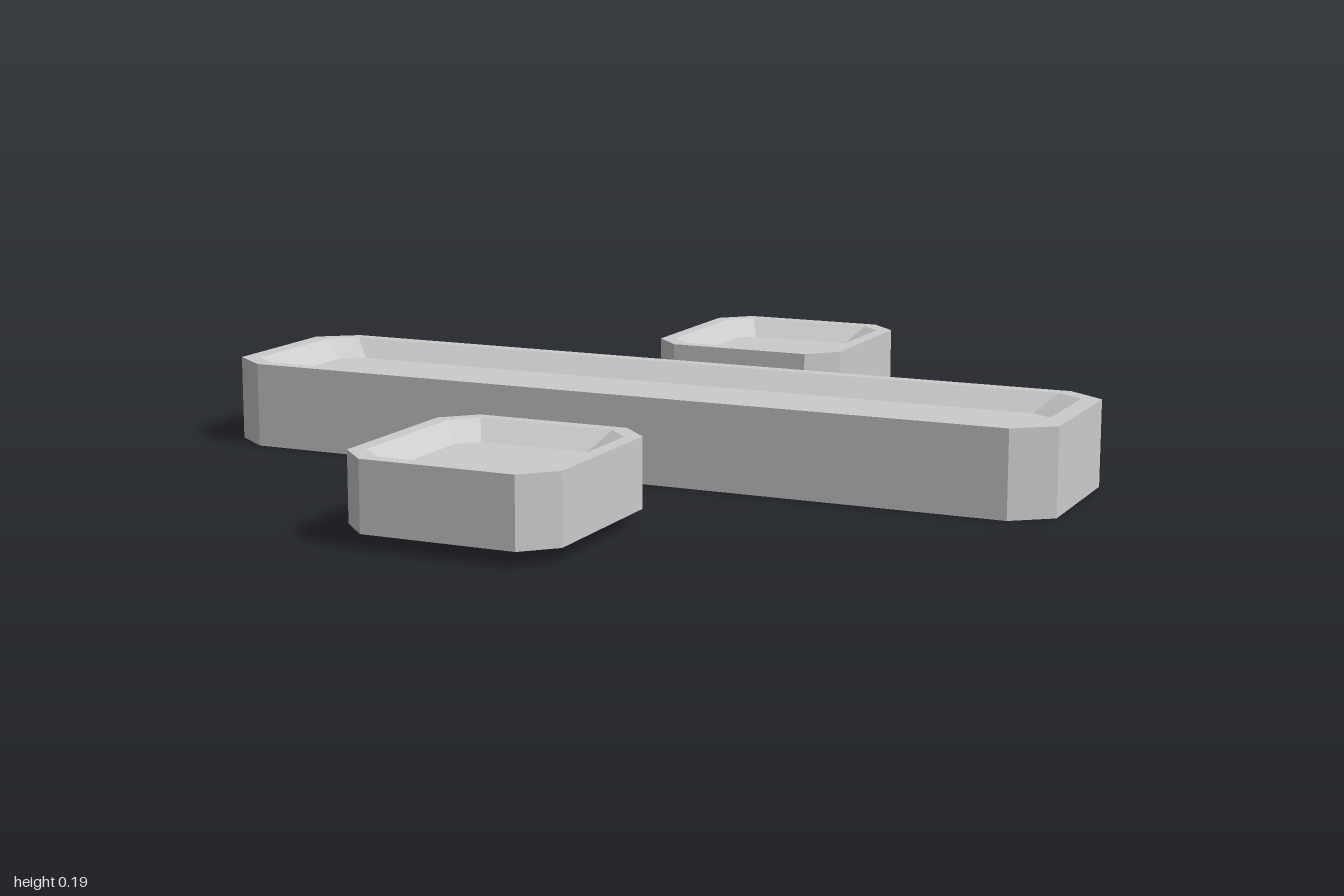
import * as THREE from 'three';

// Chamfered rectangle: half sizes hx, hz, corner cuts cx, cz, at height y
function ring([hx, hz, cx, cz, y]) {
  const corners = [
    [hx, hz - cz], [hx, -hz + cz], [hx - cx, -hz], [-hx + cx, -hz],
    [-hx, -hz + cz], [-hx, hz - cz], [-hx + cx, hz], [hx - cx, hz],
  ];
  return corners.map(([x, z]) => [x, y, z]);
}

// Tray skinned through rings: bottom, outer top, inner rim, recessed floor
function tray(name, sections, material) {
  const rings = sections.map(ring);
  const n = 8, pos = [];
  const tri = (a, b, c) => pos.push(...a, ...b, ...c);
  for (let r = 0; r < rings.length - 1; r++) {
    const lo = rings[r], hi = rings[r + 1];
    for (let i = 0; i < n; i++) {
      const j = (i + 1) % n;
      tri(lo[i], lo[j], hi[j]);
      tri(lo[i], hi[j], hi[i]);
    }
  }
  // Underside and floor caps
  const base = rings[0], floor = rings[rings.length - 1];
  for (let i = 1; i < n - 1; i++) {
    tri(base[0], base[i + 1], base[i]);
    tri(floor[0], floor[i], floor[i + 1]);
  }
  const geo = new THREE.BufferGeometry();
  geo.setAttribute('position', new THREE.Float32BufferAttribute(pos, 3));
  geo.computeVertexNormals();
  const mesh = new THREE.Mesh(geo, material);
  mesh.name = name;
  return mesh;
}

export function createModel() {
  const group = new THREE.Group();
  group.name = 'trays';
  const material = new THREE.MeshStandardMaterial({ color: 0xcccccc, flatShading: true });

  // Long central tray
  group.add(tray('longTray', [
    [1, 0.231, 0.087, 0.066, 0],
    [1, 0.231, 0.087, 0.066, 0.195],
    [0.957, 0.198, 0.06, 0.045, 0.195],
    [0.904, 0.152, 0.055, 0.035, 0.154],
  ], material));

  // Small trays in front and behind
  for (const [name, z] of [['frontTray', 0.75], ['backTray', -0.75]]) {
    const small = tray(name, [
      [0.24, 0.25, 0.067, 0.067, 0.031],
      [0.24, 0.25, 0.067, 0.067, 0.183],
      [0.207, 0.217, 0.052, 0.052, 0.183],
      [0.164, 0.162, 0.04, 0.04, 0.144],
    ], material);
    small.position.z = z;
    group.add(small);
  }
  return group;
}
